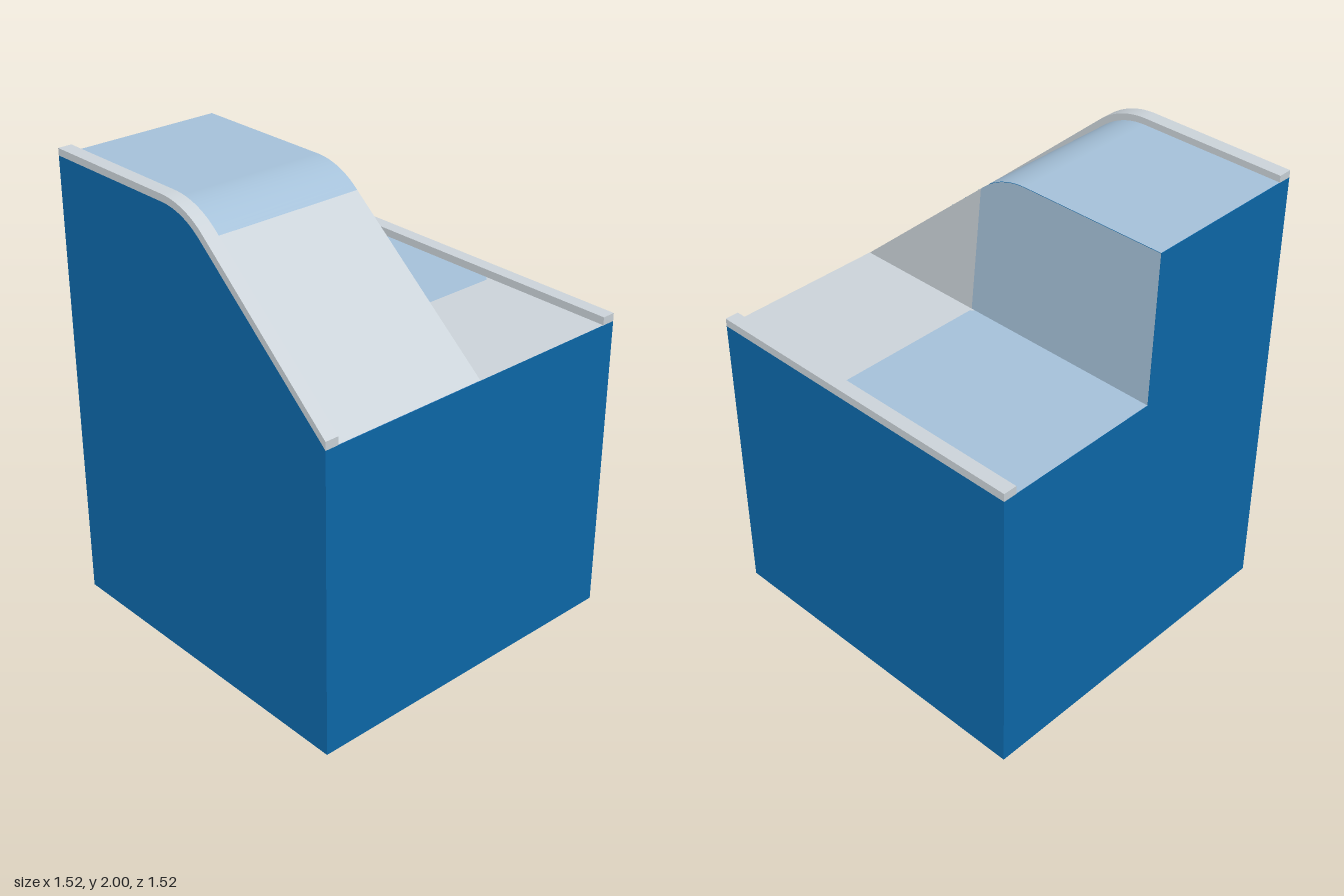
import * as THREE from 'three';
import { toCreasedNormals } from 'three/addons/utils/BufferGeometryUtils.js';

const HALF = 0.76, FLOOR = 1.32, RIM = 0.7;
const SLOPE = 0.7187;          // slope angle in radians
const STEPS = 14;              // segments in the rounded crest

export function createModel() {
  const group = new THREE.Group();
  const mat = (name, color) => new THREE.MeshStandardMaterial({ name, color });
  const blue = mat('deep blue', 0x0d69ab);
  const paleBlue = mat('pale blue', 0xa6c2da);
  const grey = mat('light grey', 0xccd4da);

  const add = (name, geometry, material) => {
    const mesh = new THREE.Mesh(geometry, material);
    mesh.name = name;
    group.add(mesh);
    return mesh;
  };

  // Side profiles are drawn with u = -z, so a quarter turn makes them face +x
  const crest = (r) => Array.from({ length: STEPS + 1 }, (_, i) => {
    const t = SLOPE * (1 - i / STEPS);
    return new THREE.Vector2(0.11 - r * Math.sin(t), 1.65 + r * Math.cos(t));
  });
  const v = (x, y) => new THREE.Vector2(x, y);
  const under = [v(-HALF, FLOOR), v(-0.11, 1.883), ...crest(0.32), v(HALF, 1.97)];
  const over = [v(-HALF, 1.355), ...crest(0.35), v(HALF, 2)];

  const extrude = (points, x0, x1) => {
    const g = new THREE.ExtrudeGeometry(new THREE.Shape(points), { depth: x1 - x0, bevelEnabled: false });
    g.rotateY(Math.PI / 2).translate(x0, 0, 0);
    return toCreasedNormals(g, 0.5);
  };
  // The inner wall leans slightly inwards as it rises
  const wallX = (y) => -0.02 * (y - FLOOR) / 0.65;
  const lean = (g, offset = 0) => {
    const p = g.attributes.position;
    for (let i = 0; i < p.count; i++) {
      if (Math.abs(p.getX(i)) < 1e-4) p.setX(i, wallX(p.getY(i)) + offset);
    }
    return g;
  };

  // Block and raised half
  const block = new THREE.BoxGeometry(2 * HALF, FLOOR, 2 * HALF);
  add('block', block.translate(0, FLOOR / 2, 0), blue);
  add('rampBody', lean(extrude([...under, v(HALF, FLOOR)], -HALF, 0)), blue);

  // Ramp surface: grey slope, pale blue crest and top
  const rows = under.length - 1;
  const skin = new THREE.PlaneGeometry(1, 1, 1, rows);
  const pos = skin.attributes.position, nor = skin.attributes.normal;
  under.forEach((p, i) => {
    const t = i < 2 ? SLOPE : SLOPE * Math.max(0, 1 - (i - 2) / STEPS);
    // PlaneGeometry rows run top to bottom, so fill from the back edge
    const row = rows - i;
    [-RIM, wallX(p.y) + 0.002].forEach((x, k) => {
      pos.setXYZ(row * 2 + k, x, p.y + 0.002, -p.x);
      nor.setXYZ(row * 2 + k, 0, Math.cos(t), Math.sin(t));
    });
  });
  skin.addGroup(0, (rows - 1) * 6, 0);
  skin.addGroup((rows - 1) * 6, 6, 1);
  add('rampSurface', skin, [paleBlue, grey]);

  // Inner wall faces
  const wall = (name, points, material) => {
    const g = new THREE.ShapeGeometry(new THREE.Shape(points));
    g.rotateY(Math.PI / 2);
    add(name, lean(g, 0.002), material);
  };
  const seamLow = v(-0.155, FLOOR), seamHigh = v(-0.115, 1.8785);
  wall('frontWallFace', [under[0], seamLow, seamHigh], grey);
  wall('backWallFace', [seamLow, v(HALF, FLOOR), ...under.slice(1).reverse(), seamHigh], paleBlue);

  // Floor faces, with the blue corners clipped
  const floor = (name, points, material) => {
    const g = new THREE.ShapeGeometry(new THREE.Shape(points));
    g.rotateX(-Math.PI / 2).translate(0, FLOOR + 0.001, 0);
    add(name, g, material);
  };
  const seam = [v(0, -0.135), v(0.015, -0.152), v(0.68, -0.152), v(RIM, -0.132)];
  floor('backFloor', [...seam, v(RIM, HALF), v(0, HALF)], paleBlue);
  floor('frontFloor', [v(0, -HALF), v(RIM, -HALF), ...[...seam].reverse()], grey);

  // Raised rims along both sides
  add('rampRim', extrude([...under, ...[...over].reverse()], -HALF, -RIM), grey);
  add('floorRim', extrude([v(-HALF, FLOOR), v(HALF, FLOOR), v(HALF, 1.355), v(-HALF, 1.355)], RIM, HALF), grey);

  return group;
}
